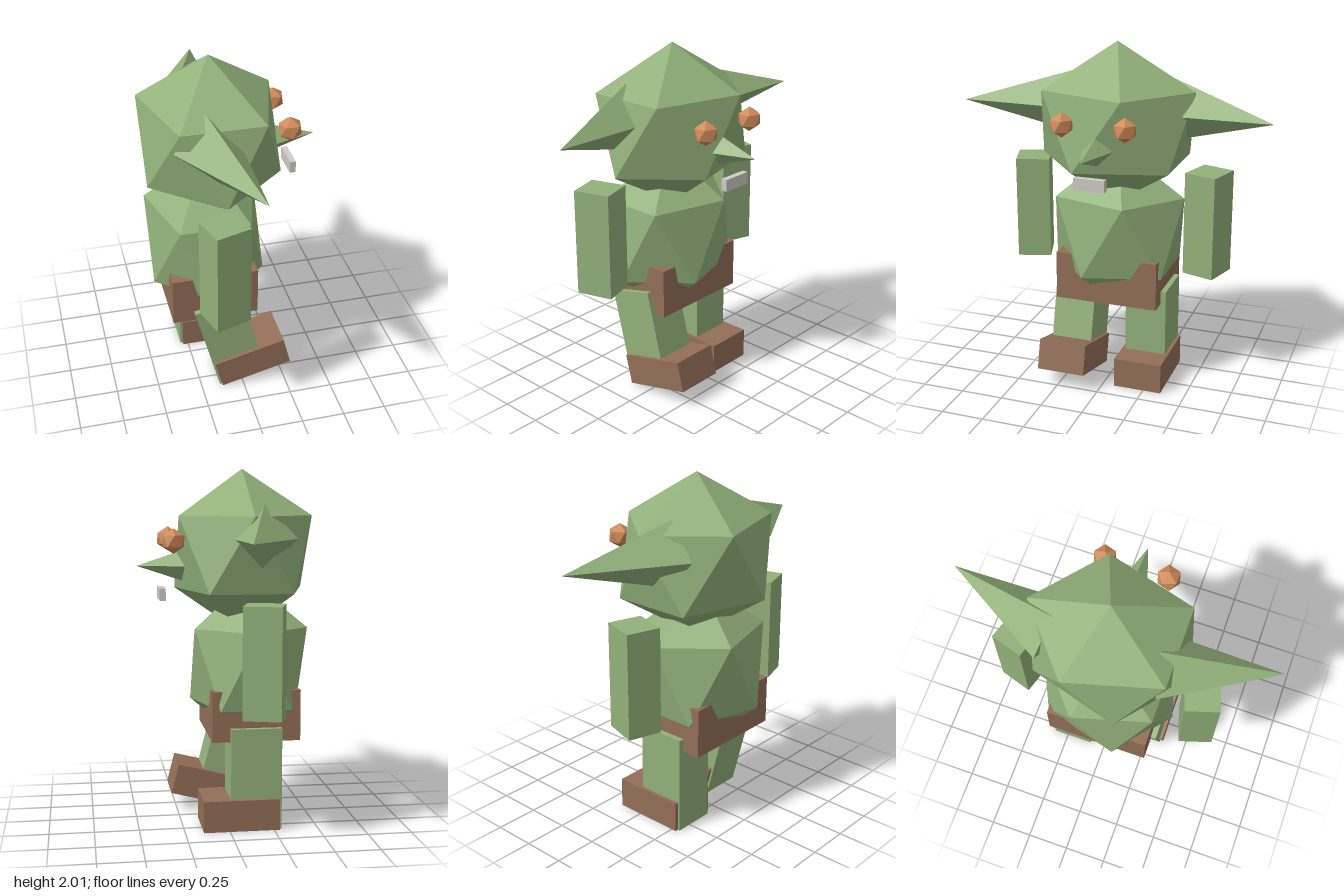
import * as THREE from 'three';

export function createModel() {
  const model = new THREE.Group();
  model.name = 'creature';

  const material = (name, color) => {
    const m = new THREE.MeshStandardMaterial({ color, flatShading: true });
    m.name = name;
    return m;
  };
  const skin = material('skin green', 0x92b07a);
  const leather = material('leather brown', 0x936e58);
  const amber = material('eye amber', 0xcf8a58);
  const bone = material('mouth grey', 0xcfcbc5);

  const add = (name, geometry, mat, [x, y, z], parent = model) => {
    const mesh = new THREE.Mesh(geometry, mat);
    mesh.name = name;
    mesh.position.set(x, y, z);
    parent.add(mesh);
    return mesh;
  };
  const box = (w, h, d) => new THREE.BoxGeometry(w, h, d);

  // Icosahedron standing on one corner, with its upper ring pointing to -z
  const gem = (rx, ry, rz) =>
    new THREE.IcosahedronGeometry(1, 0)
      .rotateZ(Math.atan(2 / (1 + Math.sqrt(5))))
      .rotateY(-Math.PI / 2)
      .scale(rx, ry, rz);

  // Head, body and clothing; the creature looks along +x
  add('head', gem(0.44, 0.468, 0.51), skin, [-0.117, 1.538, 0]);
  add('body', gem(0.379, 0.49, 0.442), skin, [-0.153, 0.895, 0]);
  add('loincloth', box(0.496, 0.285, 0.61), leather, [-0.155, 0.643, 0]);

  // Face
  add('nose', new THREE.ConeGeometry(0.093, 0.28, 4).rotateZ(-Math.PI / 2), skin, [0.345, 1.464, 0]);
  add('mouth', box(0.034, 0.068, 0.178), bone, [0.344, 1.307, 0]);

  // Mirrored parts on both sides
  for (const [side, s] of [['right', 1], ['left', -1]]) {
    add(`${side}Eye`, gem(0.07, 0.07, 0.07), amber, [0.291, 1.61, 0.18 * s]);

    const ear = new THREE.ConeGeometry(0.187, 0.65, 4)
      .rotateX((s * Math.PI) / 2)
      .rotateY(s * 0.26);
    add(`${side}Ear`, ear, skin, [-0.112, 1.625, 0.597 * s]);

    const arm = add(`${side}Arm`, box(0.208, 0.605, 0.195), skin, [-0.155, 0.987, 0.537 * s]);
    arm.rotation.y = 0.3 * s;
  }

  // Leg with its foot, swung forward by an angle
  const leg = (name, x, y, z, swing) => {
    const group = new THREE.Group();
    group.name = name;
    group.position.set(x, y, z);
    group.rotation.z = swing;
    add(`${name}Shin`, box(0.287, 0.578, 0.245), skin, [0, 0, 0], group);
    add(`${name}Foot`, box(0.428, 0.177, 0.285), leather, [0.084, -0.1995, 0], group);
    model.add(group);
  };
  leg('rightLeg', -0.0725, 0.317, 0.214, 0.25);
  leg('leftLeg', -0.151, 0.289, -0.214, 0);

  return model;
}
